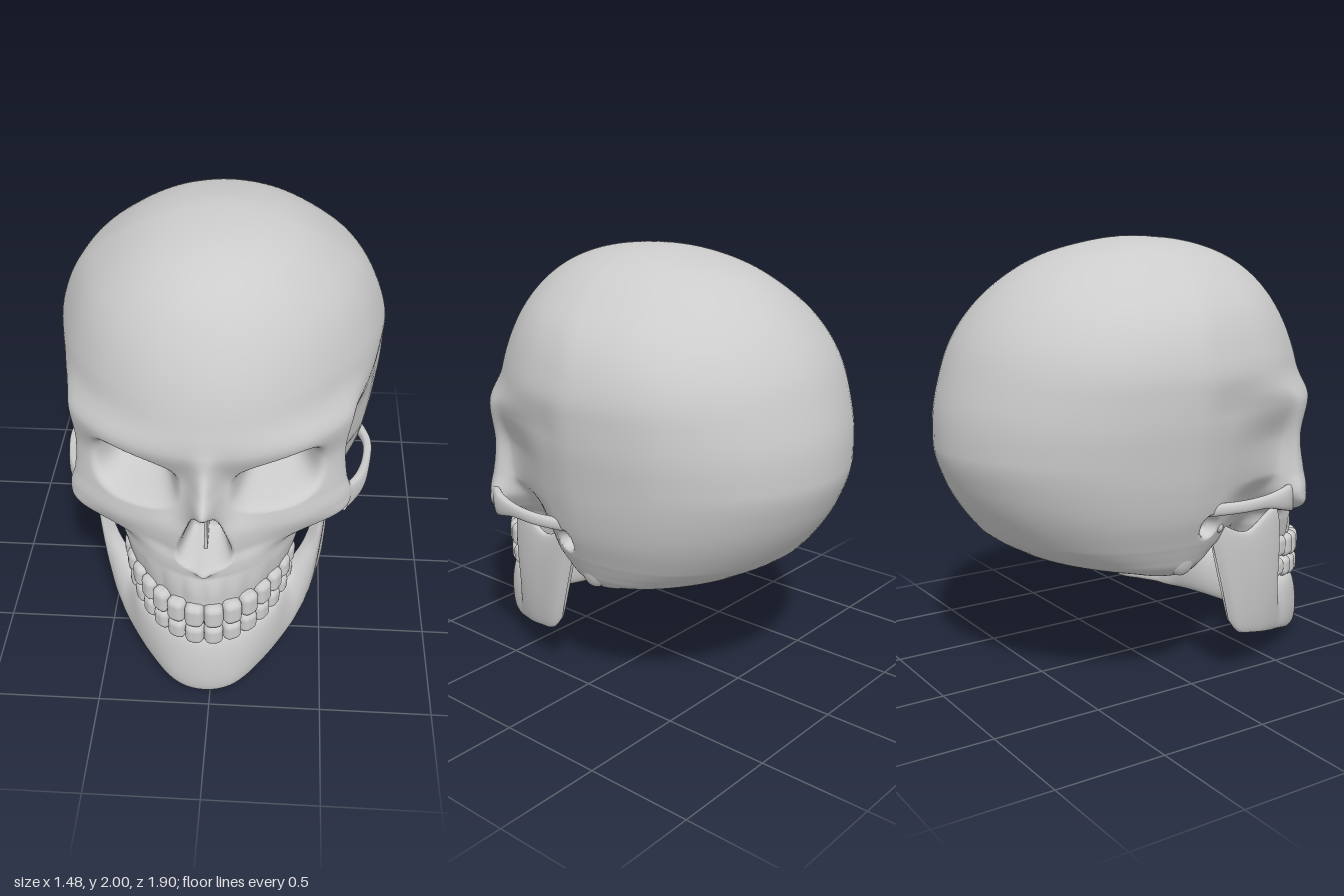
import * as THREE from 'three';
import { RoundedBoxGeometry } from 'three/addons/geometries/RoundedBoxGeometry.js';

const { smoothstep, lerp, clamp } = THREE.MathUtils;
const V = (x, y, z) => new THREE.Vector3(x, y, z);
const bell = (d, w) => Math.exp(-((d / w) ** 2));
const bone = new THREE.MeshStandardMaterial({ color: 0xcccccc, side: THREE.DoubleSide });
const FACE_X = -0.025; // the face sits slightly off the middle

// braincase: y, half width, front z, back z
const VAULT = [
  [2, 0, 0, 0], [1.98, 0.19, 0.24, -0.18], [1.92, 0.355, 0.43, -0.42], [1.83, 0.49, 0.565, -0.59],
  [1.7, 0.625, 0.67, -0.735], [1.55, 0.705, 0.748, -0.84], [1.4, 0.737, 0.795, -0.9], [1.25, 0.735, 0.82, -0.94],
  [1.1, 0.72, 0.82, -0.95], [0.95, 0.7, 0.82, -0.91], [0.82, 0.67, 0.82, -0.84], [0.69, 0.62, 0.82, -0.735],
  [0.62, 0.595, 0.82, -0.655], [0.56, 0.57, 0.82, -0.55], [0.51, 0.53, 0.82, -0.34],
];
// face sections: y, midline z, then x and z of inner front, outer front, side rim and temple hollow
const FACE = [
  [1.45, 0.785, 0.22, 0.745, 0.42, 0.63, 0.575, 0.47, 0.66, 0.28],
  [1.27, 0.815, 0.22, 0.79, 0.43, 0.69, 0.6, 0.51, 0.62, 0.41],
  [1.1, 0.77, 0.2, 0.74, 0.42, 0.64, 0.585, 0.5, 0.56, 0.42],
  [0.95, 0.76, 0.2, 0.76, 0.42, 0.67, 0.6, 0.5, 0.555, 0.4],
  [0.86, 0.78, 0.2, 0.77, 0.43, 0.68, 0.625, 0.49, 0.5, 0.37],
  [0.78, 0.82, 0.2, 0.77, 0.42, 0.66, 0.58, 0.52, 0.44, 0.38],
  [0.72, 0.85, 0.2, 0.79, 0.36, 0.64, 0.42, 0.5, 0.38, 0.38],
  [0.64, 0.88, 0.2, 0.8, 0.34, 0.65, 0.4, 0.48, 0.33, 0.37],
  [0.51, 0.89, 0.19, 0.8, 0.32, 0.64, 0.37, 0.48, 0.23, 0.36],
];
// nose ridge: y, height, width
const NOSE = [[1.38, 0, 0.07], [1.28, 0.012, 0.06], [1.2, 0.045, 0.05], [1.12, 0.12, 0.055], [1.05, 0.185, 0.065],
  [0.95, 0.145, 0.1], [0.85, 0.095, 0.15], [0.75, 0.04, 0.17], [0.66, 0, 0.18]];
// jaw, back of the ramus to the chin: lower edge, upper edge, half thickness
const JAW = [
  [0.505, 0.28, 0.18, 0.53, 0.77, 0.035, 0.008], [0.505, 0.21, 0.24, 0.53, 0.755, 0.1, 0.028],
  [0.475, 0.175, 0.35, 0.515, 0.69, 0.27, 0.028], [0.445, 0.15, 0.44, 0.505, 0.775, 0.44, 0.03],
  [0.415, 0.135, 0.49, 0.44, 0.52, 0.475, 0.045], [0.37, 0.115, 0.57, 0.335, 0.37, 0.53, 0.055],
  [0.235, 0.047, 0.75, 0.28, 0.345, 0.68, 0.055], [0.11, 0.01, 0.875, 0.15, 0.33, 0.815, 0.052],
  [0, 0, 0.9, 0, 0.325, 0.865, 0.052],
];
// cheek arch, ear to cheekbone, in the same layout
const ARCH = [
  [0.6, 0.82, -0.12, 0.6, 0.87, -0.12, 0.01], [0.65, 0.825, 0, 0.65, 0.878, 0, 0.02],
  [0.685, 0.83, 0.13, 0.685, 0.882, 0.13, 0.02], [0.675, 0.825, 0.27, 0.675, 0.885, 0.27, 0.02],
  [0.64, 0.79, 0.4, 0.64, 0.895, 0.4, 0.025], [0.57, 0.755, 0.5, 0.58, 0.9, 0.5, 0.02],
];
const mirrored = (list) => list.map(([a, b, c, d, ...rest]) => [-a, b, c, -d, ...rest]).reverse();

// smooth interpolation down a table without overshoot, rounded at the crown
function track(table, y) {
  const n = table.length, k = table.map((r) => Math.sqrt(2 - r[0]));
  const s = clamp(Math.sqrt(2 - y), k[0], k[n - 1]);
  let i = 0;
  while (i < n - 2 && s > k[i + 1]) i++;
  const h = k[i + 1] - k[i], t = (s - k[i]) / h;
  return table[0].slice(1).map((_, c) => {
    const v = (j) => table[j][c + 1];
    const d = (j) => (v(j + 1) - v(j)) / (k[j + 1] - k[j]);
    const m = (j) => {
      const a = d(Math.max(j - 1, 0)), b = d(Math.min(j, n - 2));
      return a * b <= 0 ? 0 : Math.sign(a) * Math.min(Math.abs(a + b) / 2, 3 * Math.abs(a), 3 * Math.abs(b));
    };
    return v(i) * (1 + 2 * t) * (1 - t) ** 2 + v(i + 1) * t * t * (3 - 2 * t)
      + h * t * (1 - t) * (m(i) * (1 - t) - m(i + 1) * t);
  });
}

// skin a list of closed rings
function skin(rings) {
  const n = rings[0].length, index = [];
  for (let a = 0; a < (rings.length - 1) * n; a++) {
    const c = (a + 1) % n ? a + 1 : a + 1 - n;
    index.push(a, a + n, c, c, a + n, c + n);
  }
  const g = new THREE.BufferGeometry().setFromPoints(rings.flat());
  g.setIndex(index);
  g.computeVertexNormals();
  return g;
}

// rounded plate between a lower and an upper edge
function plate(stations, N, M) {
  const curve = (f) => new THREE.CatmullRomCurve3(stations.map(f));
  const low = curve((s) => V(s[0], s[1], s[2])), top = curve((s) => V(s[3], s[4], s[5]));
  const thick = curve((s, i) => V(i * 0.1, s[6], 0));
  return skin(Array.from({ length: N + 1 }, (_, i) => {
    const a = low.getPoint(i / N), b = top.getPoint(i / N), h = thick.getPoint(i / N).y;
    const d = low.getTangent(i / N).add(top.getTangent(i / N)), out = V(d.z, 0, -d.x).normalize();
    return Array.from({ length: M }, (_, j) => {
      const r = (j / M) * Math.PI * 2, s = Math.sin(r);
      return a.clone().lerp(b, 0.5 - 0.5 * Math.cos(r)).addScaledVector(out, -h * Math.sign(s) * Math.abs(s) ** 0.6);
    });
  }));
}

// half outline at height y, front middle to back middle
function outline(y) {
  const [w, front, back] = track(VAULT, y), f = track(FACE, y);
  const zc = -0.15 * smoothstep(2 - y, 0, 0.5), k = 1 - smoothstep(y, 1.27, 1.45);
  const half = [0, 0.3, 0.57, 0.78, 0.9].map((q, i) => V(lerp(w * q, i ? f[2 * i - 1] : 0, k), y,
    lerp(zc + (front - zc) * Math.sqrt(1 - q * q), f[2 * i], k)));
  half.push(V(w * lerp(0.98, 0.96, k), y, zc + 0.2 * (front - zc)));
  for (const a of [3, 2, 1, 0]) {
    half.push(V(w * Math.sin((a * Math.PI) / 6), y, zc + (back - zc) * Math.cos((a * Math.PI) / 6)));
  }
  return half;
}

// eye sockets, nose, tooth roots, ear openings and the raised skull base
function sculpt(p, y) {
  const x = Math.abs(p.x);
  if (p.z > 0.25 && y < 1.45) {
    const [h, w] = track(NOSE, y);
    p.z += h * bell(x, w) + 0.06 * bell(x, 0.035) * bell(y - 0.72, 0.03);
    const u = (x - 0.315) / 0.203, v = (y - 1.085 - 0.02 * u) / (0.138 + 0.022 * clamp(u, -1, 1));
    const r = Math.cbrt(Math.abs(u) ** 3 + Math.abs(v) ** 3);
    const bowl = 0.41 + 0.08 * Math.min(1.5, u * u + v * v) + 0.08 * smoothstep(x, 0.3, 0.52);
    p.z = lerp(p.z, Math.min(p.z, bowl), 1 - smoothstep(r, 0.45, 1.06));
    const q = (1.05 - y) / 0.35;
    if (q > 0 && q < 1) {
      const open = 0.135 * q ** 0.8 * Math.sqrt(1 - q ** 8);
      p.z -= 0.24 * smoothstep(open - x, -0.025, 0.05) * smoothstep(q, 0, 0.2) * (1 - smoothstep(q, 0.86, 1));
    }
    if (y < 0.68 && p.z > 0.5) p.z += 0.01 * Math.abs(Math.sin(x * 34)) * (1 - smoothstep(y, 0.56, 0.68));
  }
  if (x > 0.4) p.x -= Math.sign(p.x) * 0.07 * (1 - smoothstep(Math.hypot(y - 0.78, p.z + 0.02), 0.03, 0.06));
  p.x += FACE_X * smoothstep(p.z, 0.1, 0.6);
  if (y < 0.7) {
    const behind = 1 - smoothstep(p.z, 0.3, 0.9), low = 1 - smoothstep(y, 0.51, 0.7);
    p.y = lerp(y, 0.7 + (y - 0.7) * 0.78, behind) + 0.12 * low * bell(p.z - 0.17, 0.13);
  }
  return p;
}

function skullGeometry() {
  const rings = [], TOP = 55, FRONT = 105, CAP = 12;
  const steps = [23, 23, 23, 10, 10, 14, 8, 7, 7], counts = [...steps, ...steps.slice().reverse()];
  for (let i = 0; i <= TOP + FRONT; i++) {
    const y = i < TOP ? 2 - 0.65 * (i / TOP) ** 2 : lerp(1.35, 0.51, (i - TOP) / FRONT);
    const half = outline(y), other = half.slice(1, 9).reverse().map((p) => V(-p.x, p.y, p.z));
    const curve = new THREE.CatmullRomCurve3([...half, ...other], true);
    rings.push(counts.flatMap((n, k) => Array.from({ length: n }, (_, j) => sculpt(curve.getPoint((k + j / n) / 18), y))));
  }
  // hollowed underside
  const rim = rings[TOP + FRONT];
  for (let k = 1 / CAP; k < 1.01; k += 1 / CAP) {
    rings.push(rim.map((p) => V(lerp(p.x, FACE_X * smoothstep(p.z, 0.1, 0.6), k),
      p.y + Math.sin((k * Math.PI) / 2) * (0.03 + 0.06 * smoothstep(p.z, -0.3, 0.1)), lerp(p.z, 0.1, 0.15 * k))));
  }
  return skin(rings);
}

// a row of fourteen teeth along an arch, rising to the back
function teeth(name, half, y, height) {
  const row = new THREE.Group();
  row.name = name;
  const arch = new THREE.CatmullRomCurve3(Array.from({ length: 25 }, (_, i) => {
    const a = (i / 12 - 1) * 1.5;
    return V(half * Math.sin(a), 0, 0.47 + 0.425 * Math.cos(a) ** 1.15);
  }));
  for (let i = 0; i < 14; i++) {
    const u = (i + 0.5) / 14, p = arch.getPointAt(u), d = arch.getTangentAt(u);
    const molar = smoothstep(Math.abs(u - 0.5), 0.2, 0.45);
    const size = [arch.getLength() / 13.6, height * (1 - 0.15 * molar), 0.08 + 0.02 * molar];
    const tooth = new THREE.Mesh(new RoundedBoxGeometry(...size, 3, 0.032), bone);
    tooth.name = 'tooth';
    tooth.position.set(p.x, y + 0.18 * (0.89 - p.z), p.z);
    tooth.rotation.y = Math.atan2(-d.z, d.x);
    row.add(tooth);
  }
  return row;
}

export function createModel() {
  const model = new THREE.Group(), face = new THREE.Group();
  model.name = 'skull';
  face.name = 'faceParts';
  face.position.x = FACE_X;
  const add = (name, geometry, parent = face) => {
    const mesh = new THREE.Mesh(geometry, bone);
    mesh.name = name;
    parent.add(mesh);
    return mesh;
  };
  add('cranium', skullGeometry(), model);
  add('lowerJaw', plate([...JAW, ...mirrored(JAW).slice(1)], 144, 36));
  add('nasalSeptum', new THREE.BoxGeometry(0.014, 0.24, 0.16)).position.set(0, 0.84, 0.68);
  add('leftCheekArch', plate(ARCH, 36, 20), model);
  add('rightCheekArch', plate(mirrored(ARCH), 36, 20), model);
  face.add(teeth('upperTeeth', 0.345, 0.467, 0.122), teeth('lowerTeeth', 0.335, 0.357, 0.106));
  for (const s of [1, -1]) {
    // bump behind the ear and jaw joint
    const bump = add('mastoid', new THREE.SphereGeometry(1, 24, 16), model);
    bump.position.set(s * 0.545, 0.66, -0.1);
    bump.scale.set(0.05, 0.11, 0.08);
    const joint = add('jawJoint', new THREE.SphereGeometry(1, 20, 14));
    joint.position.set(s * 0.53, 0.755, 0.06);
    joint.scale.set(0.07, 0.035, 0.036);
  }
  model.add(face);
  return model;
}
